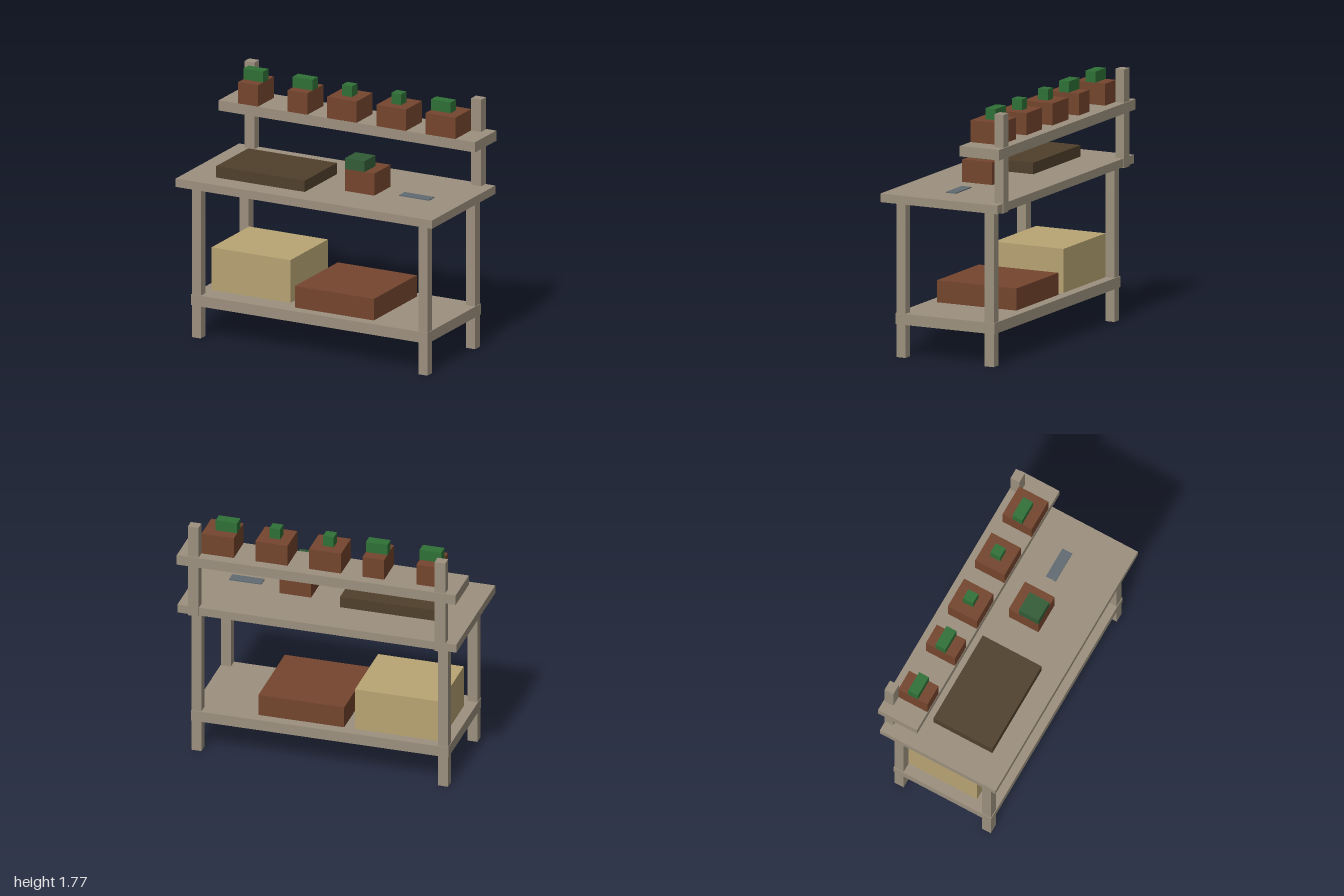
import * as THREE from 'three';

const paint = (name, color) => {
  const m = new THREE.MeshStandardMaterial({ color });
  m.name = name;
  return m;
};

export function createModel() {
  const group = new THREE.Group();
  const wood = paint('weathered wood', 0x9c907e);
  const clay = paint('terracotta', 0x74452d);
  const soil = paint('dark soil', 0x50402c);
  const straw = paint('straw', 0xb8a473);
  const leaf = paint('leaf green', 0x2f7036);
  const darkLeaf = paint('dark leaf green', 0x315c36);
  const metal = paint('blue grey metal', 0x616a72);

  // Box given by its extents along each axis
  const block = (name, mat, [x0, x1], [y0, y1], [z0, z1]) => {
    const mesh = new THREE.Mesh(new THREE.BoxGeometry(x1 - x0, y1 - y0, z1 - z0), mat);
    mesh.position.set((x0 + x1) / 2, (y0 + y1) / 2, (z0 + z1) / 2);
    mesh.name = name;
    group.add(mesh);
  };

  // Bench boards
  block('lowerShelf', wood, [-0.923, 0.923], [0.231, 0.308], [-0.382, 0.385]);
  block('tableTop', wood, [-1, 1], [1.09, 1.15], [-0.446, 0.462]);
  block('upperShelf', wood, [-1, 1], [1.468, 1.541], [-0.46, -0.154]);

  // Legs and the posts carrying the upper shelf
  for (const s of [-1, 1]) {
    const side = s < 0 ? 'right' : 'left';
    const legX = s < 0 ? [-0.919, -0.849] : [0.849, 0.919];
    const postX = s < 0 ? [-0.923, -0.846] : [0.846, 0.923];
    block(side + 'FrontLeg', wood, legX, [0, 1.08], [0.31, 0.38]);
    block(side + 'BackLeg', wood, legX, [0, 1.08], [-0.375, -0.305]);
    block(side + 'ShelfPost', wood, postX, [1.083, 1.772], [-0.452, -0.383]);
  }

  // Stored boxes on the lower shelf
  block('strawBale', straw, [-0.846, -0.231], [0.308, 0.615], [-0.308, 0.231]);
  block('clayBox', clay, [-0.154, 0.462], [0.308, 0.462], [-0.308, 0.308]);

  // Items set into the table top
  block('soilTray', soil, [-0.769, -0.077], [1.079, 1.231], [-0.154, 0.308]);
  block('tablePot', clay, [0.154, 0.382], [1.079, 1.308], [-0.079, 0.154]);
  block('tablePlant', darkLeaf, [0.154, 0.306], [1.308, 1.386], [0, 0.154]);
  block('handTool', metal, [0.535, 0.767], [1.079, 1.157], [0, 0.077]);

  // Row of potted plants: pot extent, then plant extent along x
  const pots = [
    [[-0.85, -0.695], [-0.85, -0.695]],
    [[-0.464, -0.309], [-0.464, -0.309]],
    [[-0.155, 0.075], [-0.079, -0.002]],
    [[0.229, 0.46], [0.305, 0.382]],
    [[0.614, 0.846], [0.614, 0.768]],
  ];
  pots.forEach(([pot, plant], i) => {
    block('shelfPot' + (i + 1), clay, pot, [1.541, 1.694], [-0.385, -0.156]);
    block('shelfPlant' + (i + 1), leaf, plant, [1.694, 1.771], [-0.308, -0.231]);
  });

  return group;
}
